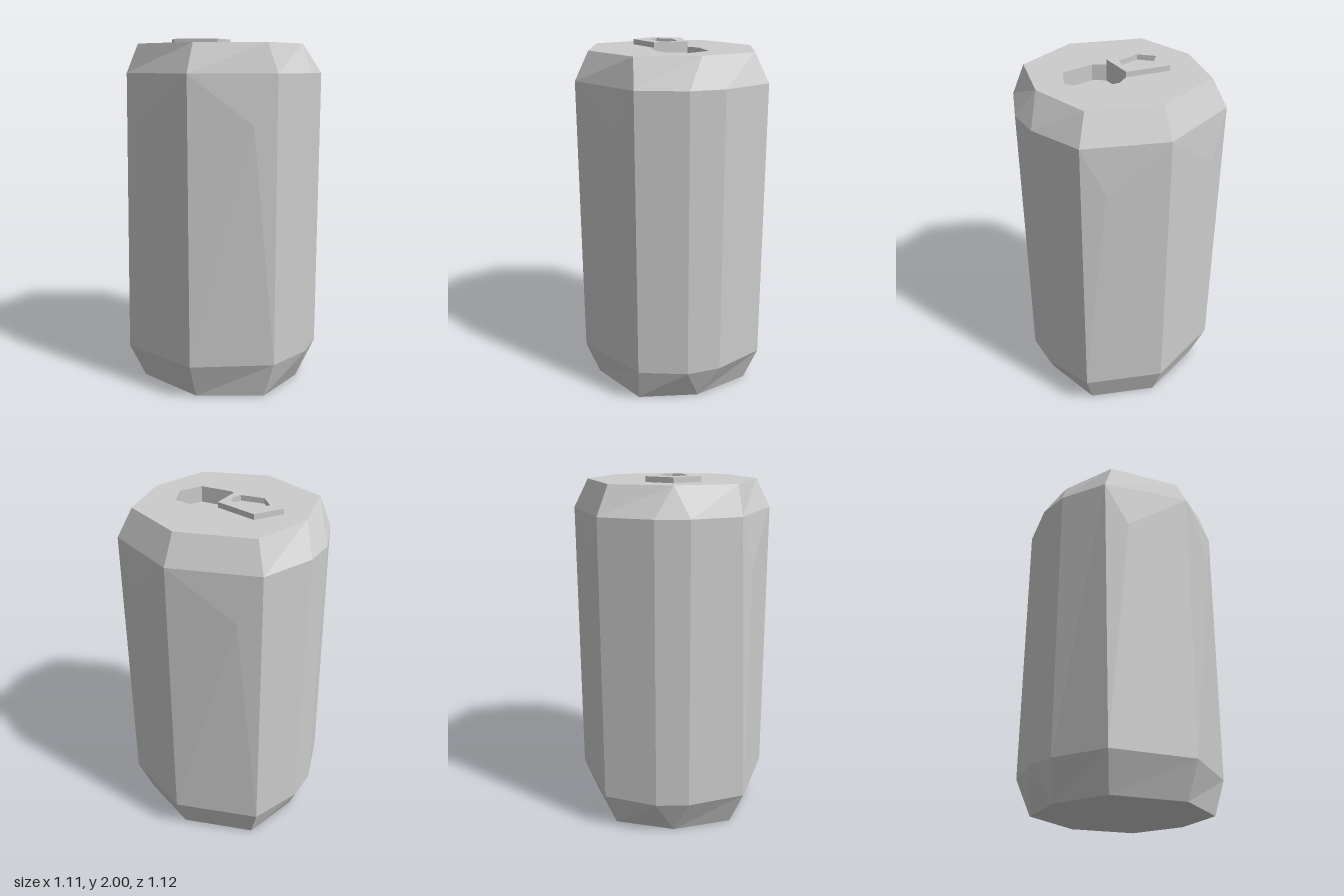
import * as THREE from 'three';

const material = new THREE.MeshStandardMaterial({ color: 0xcccccc, flatShading: true });

// Outlines as [x, z], running from the front round by +x
const bodyRing = [[0.02, 0.56], [0.445, 0.355], [0.553, 0.095], [0.555, -0.1], [0.445, -0.395],
  [0.02, -0.562], [-0.445, -0.395], [-0.555, -0.1], [-0.553, 0.085], [-0.445, 0.355]];
const capRing = [[0.02, 0.48], [0.38, 0.335], [0.47, 0], [0.47, 0], [0.38, -0.338],
  [0.02, -0.48], [-0.38, -0.338], [-0.47, 0], [-0.47, 0], [-0.38, 0.335]];
const lowerBodyRing = bodyRing.map((p, i) => (i === 9 ? [-0.445, 0.405] : p));
const openingRing = [[0, 0.1], [0.065, 0.142], [0.25, 0.125], [0.31, 0], [0.25, -0.125], [0.065, -0.142], [0, -0.1]];
const tabRing = [[0, 0.1], [0, -0.1], [-0.245, -0.147], [-0.335, 0], [-0.245, 0.147]];
const tabHoleRing = [[-0.05, 0.05], [-0.03, 0], [-0.05, -0.05], [-0.18, -0.075], [-0.255, 0], [-0.18, 0.075]];

// Slight bulges in the large panels, by panel index
const bulges = { 0: [0.34, 1.54, 0.425], 4: [0.33, 1.54, -0.45], 5: [-0.33, 1.54, -0.45], 9: [-0.33, 1.54, 0.43] };

// Band of faces between two outlines; a panel with a bulge is fanned around it
function band(lower, y0, upper, y1, peaks = {}) {
  const positions = [];
  const same = (p, q) => p.every((v, i) => v === q[i]);
  const tri = (a, b, c) => {
    if (!same(a, b) && !same(b, c) && !same(a, c)) positions.push(...a, ...b, ...c);
  };
  const at = (ring, i, y) => {
    const [x, z] = ring[i % ring.length];
    return [x, y, z];
  };
  for (let i = 0; i < lower.length; i++) {
    const corners = [at(lower, i, y0), at(lower, i + 1, y0), at(upper, i + 1, y1), at(upper, i, y1)];
    if (peaks[i]) {
      corners.forEach((c, k) => tri(c, corners[(k + 1) % 4], peaks[i]));
    } else {
      tri(corners[0], corners[1], corners[2]);
      tri(corners[0], corners[2], corners[3]);
    }
  }
  const geometry = new THREE.BufferGeometry();
  geometry.setAttribute('position', new THREE.Float32BufferAttribute(positions, 3));
  geometry.computeVertexNormals();
  return geometry;
}

// Flat horizontal face, with an optional hole
function plate(ring, y, hole, down = false) {
  const unique = ring.filter((p, i) => !i || p[0] !== ring[i - 1][0] || p[1] !== ring[i - 1][1]);
  const points = (r) => r.map(([x, z]) => new THREE.Vector2(x, down ? z : -z));
  const shape = new THREE.Shape(points(unique));
  if (hole) shape.holes.push(new THREE.Path(points(hole)));
  return new THREE.ShapeGeometry(shape).rotateX(down ? Math.PI / 2 : -Math.PI / 2).translate(0, y, 0);
}

export function createModel() {
  const model = new THREE.Group();
  model.name = 'drinkCan';
  const add = (name, geometry) => {
    const mesh = new THREE.Mesh(geometry, material);
    mesh.name = name;
    model.add(mesh);
  };

  // Body and its tapered ends
  add('base', plate(capRing, 0, null, true));
  add('lowerTaper', band(capRing, 0, lowerBodyRing, 0.205));
  add('body', band(lowerBodyRing, 0.205, bodyRing, 1.81, bulges));
  add('upperTaper', band(bodyRing, 1.81, capRing, 1.97));

  // Lid with a recessed opening
  add('lid', plate(capRing, 1.97, openingRing));
  add('openingWall', band(openingRing, 1.97, openingRing, 1.88));
  add('openingFloor', plate(openingRing, 1.88));

  // Pull tab with a finger hole
  add('tabSide', band(tabRing, 1.97, tabRing, 2));
  add('tabTop', plate(tabRing, 2, tabHoleRing));
  add('tabHoleWall', band(tabHoleRing, 2, tabHoleRing, 1.97));
  return model;
}
